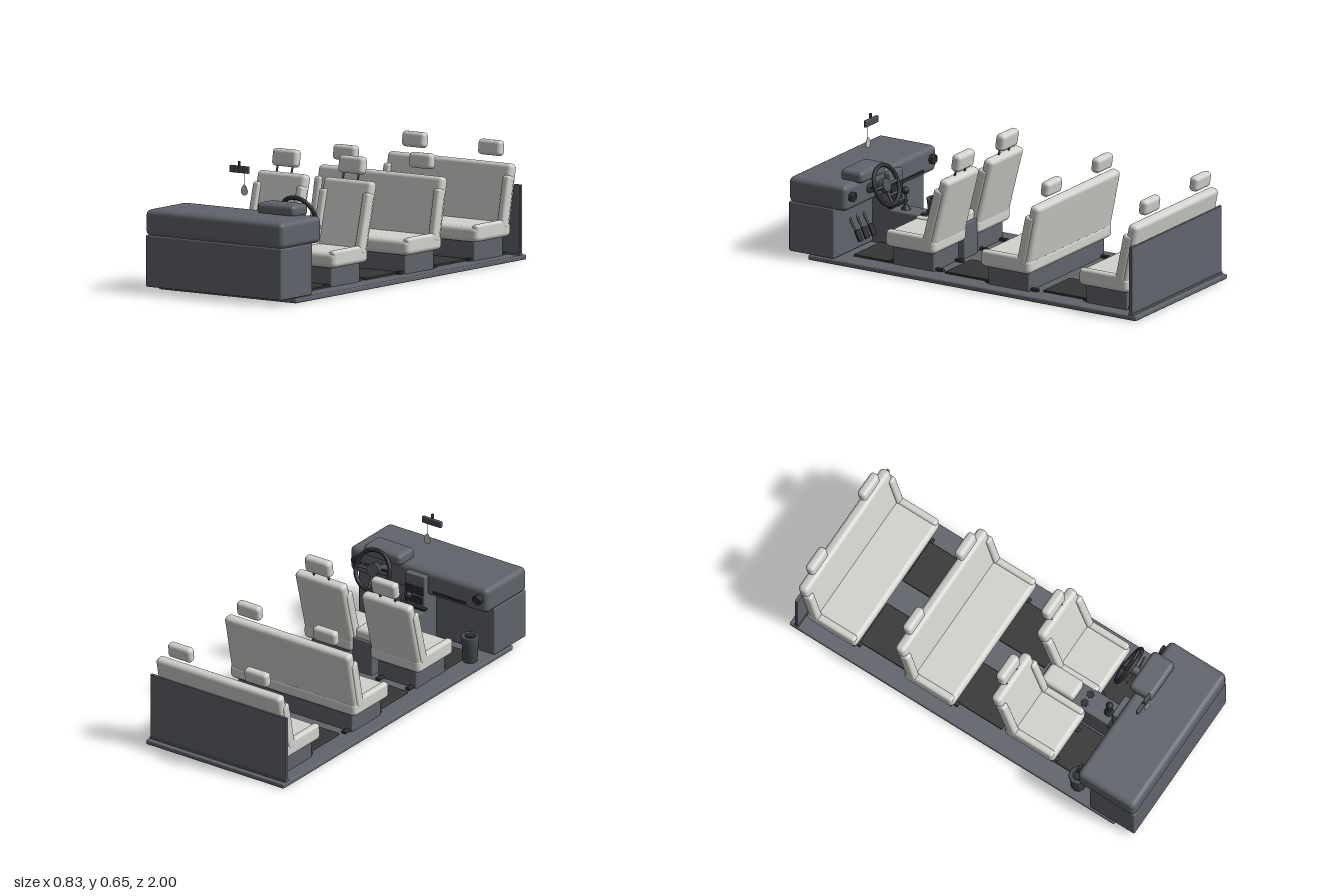
import * as THREE from 'three';
import { RoundedBoxGeometry } from 'three/addons/geometries/RoundedBoxGeometry.js';

const mat = (name, color, side = THREE.FrontSide) => {
  const m = new THREE.MeshStandardMaterial({ color, side });
  m.name = name;
  return m;
};

export function createModel() {
  const root = new THREE.Group();
  root.name = 'vanInterior';
  const panel = mat('greyPanel', 0x60646b);
  const fabric = mat('lightUpholstery', 0xd2d2ce);
  const rubber = mat('darkRubber', 0x353536);
  const black = mat('blackPlastic', 0x2b2d30);
  const trim = mat('darkTrim', 0x4a4e55);
  const charm = mat('charmGrey', 0xc4c4c0, THREE.DoubleSide);

  const add = (parent, name, geo, material, x, y, z) => {
    const m = new THREE.Mesh(geo, material);
    m.name = name;
    m.position.set(x, y, z);
    parent.add(m);
    return m;
  };
  // Boxes given by their extents; r rounds the edges
  const box = (parent, name, material, [x0, x1], [y0, y1], [z0, z1], r = 0) => {
    const s = [x1 - x0, y1 - y0, z1 - z0];
    const geo = r ? new RoundedBoxGeometry(...s, 3, r) : new THREE.BoxGeometry(...s);
    return add(parent, name, geo, material, (x0 + x1) / 2, (y0 + y1) / 2, (z0 + z1) / 2);
  };
  const cyl = (parent, name, material, r0, r1, h, x, y, z, seg = 20) =>
    add(parent, name, new THREE.CylinderGeometry(r0, r1, h, seg), material, x, y, z);
  // Rod between two points
  const rod = (parent, name, material, a, b, r) => {
    const p = new THREE.Vector3(...a), q = new THREE.Vector3(...b);
    const d = q.clone().sub(p), c = p.clone().add(q).multiplyScalar(0.5);
    const m = cyl(parent, name, material, r, r, d.length(), c.x, c.y, c.z, 12);
    m.quaternion.setFromUnitVectors(new THREE.Vector3(0, 1, 0), d.normalize());
    return m;
  };

  // Floor, rear panel and dashboard
  box(root, 'floor', panel, [-0.415, 0.415], [0, 0.024], [-1, 0.885], 0.006);
  box(root, 'rearPanel', panel, [-0.41, 0.41], [0.02, 0.37], [-0.973, -0.957], 0.003);
  box(root, 'rearPanelFoot', panel, [-0.41, 0.41], [0.02, 0.034], [-0.978, -0.952], 0.003);
  box(root, 'dashBody', panel, [-0.41, 0.41], [0.026, 0.28], [0.74, 1], 0.008);
  box(root, 'dashTop', panel, [-0.415, 0.415], [0.275, 0.405], [0.67, 1], 0.026);
  box(root, 'instrumentHood', panel, [0.088, 0.312], [0.395, 0.456], [0.64, 0.768], 0.022);
  box(root, 'gloveBoxSlot', black, [-0.29, -0.09], [0.298, 0.308], [0.664, 0.672]);
  for (const s of [-1, 1]) {
    const vent = cyl(root, 'roundVent', black, 0.024, 0.024, 0.02, s * 0.365, 0.345, 0.662);
    vent.rotation.x = Math.PI / 2;
    add(root, 'ventRing', new THREE.TorusGeometry(0.022, 0.004, 8, 20), trim, s * 0.365, 0.345, 0.652);
  }

  // Floor mats
  for (const s of [-1, 1]) {
    for (const [z0, z1] of [[0.42, 0.69], [-0.1, 0.165], [-0.66, -0.4]]) {
      box(root, 'floorMat', rubber, [s * 0.19 - 0.12, s * 0.19 + 0.12], [0.02, 0.034], [z0, z1], 0.004);
    }
  }

  // Seat with tilted back, side bolsters and headrests
  function seat(name, x, z, w, top, tilt, headXs, head) {
    const g = new THREE.Group();
    g.name = name;
    g.position.set(x, 0, z);
    root.add(g);
    const hw = w / 2;
    box(g, 'seatBase', panel, [-hw + 0.035, hw - 0.035], [0.02, 0.125], [-0.12, 0.115], 0.006);
    box(g, 'cushion', fabric, [-hw, hw], [0.118, 0.194], [-0.145, 0.143], 0.024);
    const back = new THREE.Group();
    back.name = 'backrest';
    back.position.set(0, 0.14, -0.104);
    back.rotation.x = -tilt;
    g.add(back);
    const h = (top - 0.14) / Math.cos(tilt) - 0.005;
    box(back, 'backCushion', fabric, [-hw + 0.003, hw - 0.003], [0, h], [-0.03, 0.026], 0.022);
    for (const s of [-1, 1]) {
      const bx = s * (hw - 0.019);
      box(back, 'backBolster', fabric, [bx - 0.021, bx + 0.021], [0.02, h - 0.06], [-0.012, 0.042], 0.014);
      box(g, 'cushionBolster', fabric, [bx - 0.019, bx + 0.019], [0.13, 0.204], [-0.12, 0.135], 0.014);
      const rx = s * (hw - 0.06);
      box(g, 'seatRail', black, [rx - 0.012, rx + 0.012], [0.022, 0.038], [-0.16, 0.14], 0.004);
    }
    for (const hx of headXs) {
      const rest = box(g, 'headrest', fabric, [hx - head.w / 2, hx + head.w / 2],
        [head.y - head.h / 2, head.y + head.h / 2], [head.z - head.d / 2, head.z + head.d / 2], 0.019);
      rest.rotation.x = -tilt * 0.6;
      if (head.posts) for (const s of [-1, 1]) {
        rod(g, 'headrestPost', trim, [hx + s * 0.045, top - 0.03, -0.188], [hx + s * 0.045, head.y, head.z], 0.005);
      }
    }
  }
  const frontHead = { w: 0.15, h: 0.086, d: 0.05, y: 0.577, z: -0.215, posts: true };
  const benchHead = { w: 0.138, h: 0.076, d: 0.048, y: 0.539, z: -0.178 };
  for (const s of [-1, 1]) seat('frontSeat', s * 0.2, 0.345, 0.3, 0.512, 0.25, [0], frontHead);
  for (const z of [-0.22, -0.784]) seat('benchSeat', 0, z, 0.758, 0.476, 0.2, [-0.23, 0.23], benchHead);

  // Centre console with armrest, cup holders and gear lever
  box(root, 'console', panel, [-0.06, 0.06], [0.02, 0.2], [0.21, 0.66], 0.006);
  box(root, 'centreStack', panel, [-0.06, 0.06], [0.02, 0.385], [0.64, 0.75], 0.006);
  box(root, 'armrest', fabric, [-0.056, 0.052], [0.19, 0.25], [0.22, 0.41], 0.02);
  for (const s of [-1, 1]) {
    cyl(root, 'cupHolder', black, 0.02, 0.02, 0.006, s * 0.026, 0.201, 0.46);
    box(root, 'stackVent', black, [s * 0.029 - 0.023, s * 0.029 + 0.023], [0.285, 0.325], [0.634, 0.642]);
  }
  box(root, 'stackScreen', black, [-0.045, 0.045], [0.235, 0.27], [0.634, 0.642]);
  box(root, 'stackShelf', black, [-0.075, 0.075], [0.212, 0.222], [0.62, 0.645]);
  cyl(root, 'gearBoot', black, 0.01, 0.026, 0.025, 0, 0.21, 0.585);
  rod(root, 'gearStick', trim, [0, 0.2, 0.585], [0, 0.29, 0.588], 0.006);
  add(root, 'gearKnob', new THREE.SphereGeometry(0.019, 16, 12), black, 0, 0.294, 0.588);

  // Steering wheel and column
  const wheel = new THREE.Group();
  wheel.name = 'steeringWheel';
  wheel.position.set(0.2, 0.377, 0.57);
  wheel.rotation.x = 0.37;
  root.add(wheel);
  add(wheel, 'rim', new THREE.TorusGeometry(0.1, 0.011, 10, 36), black, 0, 0, 0);
  cyl(wheel, 'hub', trim, 0.034, 0.038, 0.024, 0, 0, 0.008).rotation.x = -Math.PI / 2;
  for (const a of [0, Math.PI, -Math.PI / 2]) {
    rod(wheel, 'spoke', trim, [0, 0, 0.008], [0.1 * Math.cos(a), 0.1 * Math.sin(a), 0], 0.008);
  }
  rod(root, 'steeringColumn', trim, [0.2, 0.375, 0.578], [0.2, 0.335, 0.7], 0.024);
  for (const s of [-1, 1]) {
    rod(root, 'columnStalk', black, [0.2, 0.365, 0.62], [0.2 + s * 0.08, 0.375, 0.61], 0.005);
  }

  // Pedals
  for (const x of [0.14, 0.2, 0.26]) {
    rod(root, 'pedalArm', trim, [x, 0.2, 0.745], [x, 0.11, 0.695], 0.006);
    const pedal = box(root, 'pedal', black, [x - 0.019, x + 0.019], [0.085, 0.145], [0.685, 0.697], 0.003);
    pedal.rotation.x = 0.45;
  }

  // Waste bin, hollow with a rolled rim
  const binProfile = [[0, 0], [0.036, 0], [0.043, 0.125], [0.047, 0.13], [0.043, 0.136], [0.024, 0.134], [0.022, 0.1], [0, 0.1]]
    .map(([r, y]) => new THREE.Vector2(r, y));
  add(root, 'wasteBin', new THREE.LatheGeometry(binProfile, 24), trim, -0.343, 0.024, 0.63);
  cyl(root, 'binOpening', black, 0.026, 0.026, 0.004, -0.343, 0.16, 0.63);

  // Rear-view mirror with a hanging charm
  box(root, 'mirror', trim, [-0.058, 0.058], [0.595, 0.63], [0.777, 0.793], 0.005);
  box(root, 'mirrorStalk', trim, [-0.005, 0.005], [0.625, 0.654], [0.782, 0.794], 0.002);
  rod(root, 'charmString', charm, [0.029, 0.535, 0.785], [0.029, 0.6, 0.785], 0.0012);
  const drop = new THREE.Shape();
  drop.moveTo(0, 0.054);
  drop.bezierCurveTo(0.012, 0.046, 0.02, 0.03, 0.02, 0.018);
  drop.bezierCurveTo(0.02, -0.006, -0.02, -0.006, -0.02, 0.018);
  drop.bezierCurveTo(-0.02, 0.03, -0.012, 0.046, 0, 0.054);
  add(root, 'charm', new THREE.ExtrudeGeometry(drop, { depth: 0.003, bevelEnabled: false, curveSegments: 10 }),
    charm, 0.029, 0.487, 0.7835);

  return root;
}
